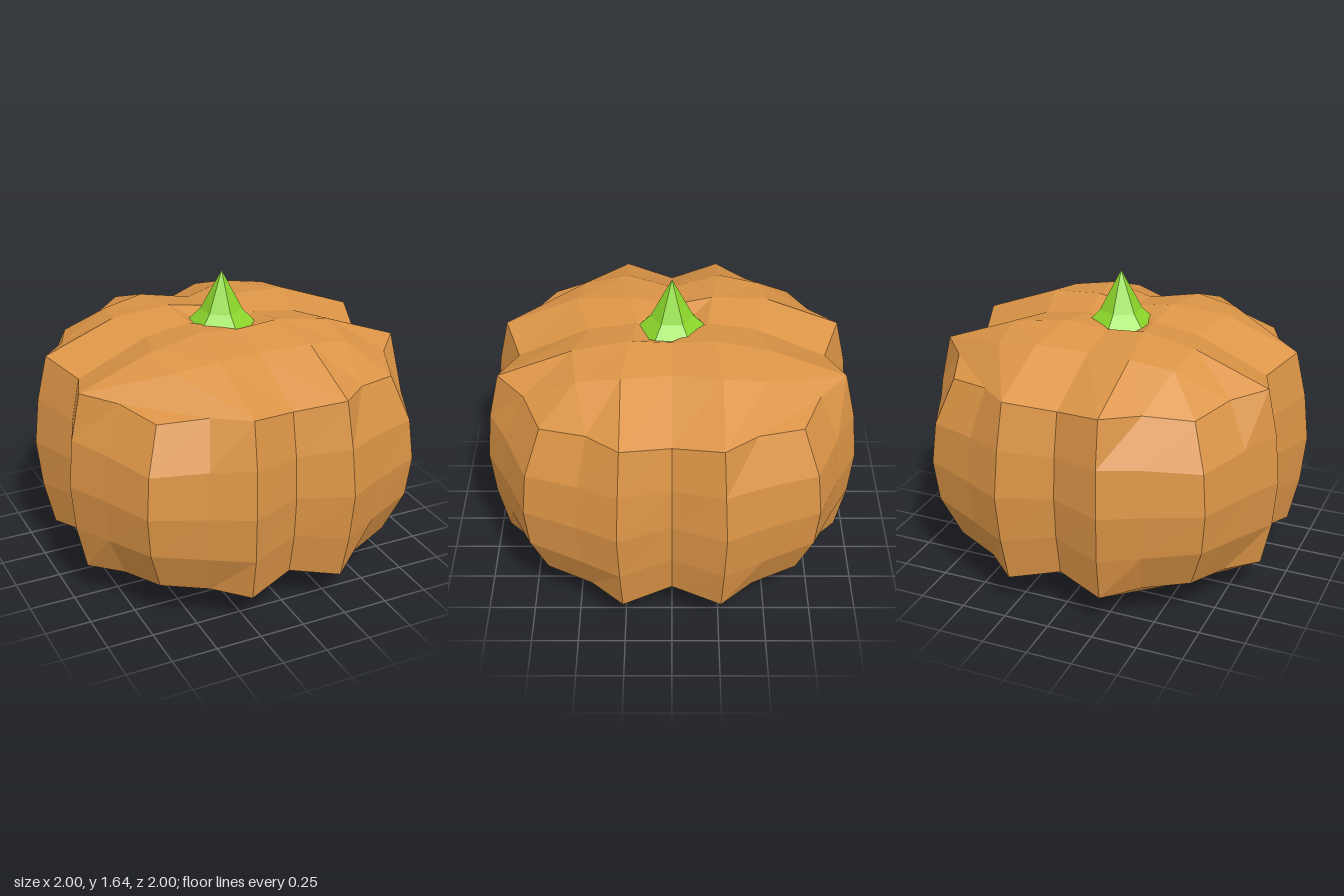
import * as THREE from 'three';

const MID = 0.7; // height of the widest row; the body mirrors above and below it

// Cap grid, one octant: ring -> step along the ring -> [outward, sideways, y]
const CAP = [
  [[0, 0, 1.28]],
  [[0.19, 0, 1.37], [0.22, 0.22, 1.4]],
  [[0.44, 0, 1.335], [0.52, 0.26, 1.365], [0.49, 0.49, 1.33]],
  [[0.83, 0, 1.165], [0.92, 0.26, 1.21], [0.77, 0.43, 1.195], [0.67, 0.67, 1.165]],
];

// Wall rows above the rim's level, same octant layout
const SHOULDER = [[0.875, 0, 0.93], [0.975, 0.27, 0.96], [0.87, 0.475, 0.95], [0.75, 0.75, 0.925]];
const WAIST = [[0.89, 0, MID], [1, 0.28, MID], [0.89, 0.495, MID], [0.77, 0.77, MID]];

// Spread an octant entry to any cell (i, j) of the 6 x 6 grid
function spread(row, i, j, side) {
  const a = Math.abs(i), b = Math.abs(j);
  const [out, across, y] = row[Math.min(a, b)];
  const x = Math.sign(i) * (a >= b ? out : across);
  const z = Math.sign(j) * (a >= b ? across : out);
  return [x, MID + side * (y - MID), z];
}

const capPoint = (i, j, side) =>
  spread(CAP[Math.max(Math.abs(i), Math.abs(j))], i, j, side);

// Point k of 24 around the wall, row 0 (bottom rim) to 4 (top rim)
function wallPoint(k, row) {
  let i = (k % 6) - 3, j = 3;
  for (let turn = Math.floor(k / 6) % 4; turn > 0; turn--) [i, j] = [j, -i];
  const rows = [CAP[3], SHOULDER, WAIST, SHOULDER, CAP[3]];
  return spread(rows[row], i, j, row < 2 ? -1 : 1);
}

function createBody() {
  const positions = [];
  const quad = (a, b, c, d) => positions.push(...a, ...b, ...c, ...a, ...c, ...d);

  // Top and bottom caps
  for (let i = -3; i < 3; i++) {
    for (let j = -3; j < 3; j++) {
      const ring = [[i, j], [i, j + 1], [i + 1, j + 1], [i + 1, j]];
      quad(...ring.map(([p, q]) => capPoint(p, q, 1)));
      quad(...ring.reverse().map(([p, q]) => capPoint(p, q, -1)));
    }
  }
  // Ribbed wall
  for (let k = 0; k < 24; k++) {
    for (let r = 0; r < 4; r++) {
      quad(wallPoint(k, r), wallPoint(k + 1, r), wallPoint(k + 1, r + 1), wallPoint(k, r + 1));
    }
  }

  const geometry = new THREE.BufferGeometry();
  geometry.setAttribute('position', new THREE.Float32BufferAttribute(positions, 3));
  geometry.computeVertexNormals();
  const body = new THREE.Mesh(geometry, new THREE.MeshStandardMaterial({ color: 0xdb9446, flatShading: true }));
  body.name = 'pumpkinBody';
  return body;
}

// Six-sided stem with a flared foot sunk into the dimple
function createStem() {
  const profile = [[0, 1.32], [0.212, 1.325], [0.115, 1.42], [0, 1.64]];
  const geometry = new THREE.LatheGeometry(profile.map(([r, y]) => new THREE.Vector2(r, y)), 6);
  const stem = new THREE.Mesh(geometry, new THREE.MeshStandardMaterial({ color: 0x8bd62b, flatShading: true }));
  stem.name = 'stem';
  return stem;
}

export function createModel() {
  const group = new THREE.Group();
  group.name = 'pumpkin';
  group.add(createBody(), createStem());
  return group;
}
